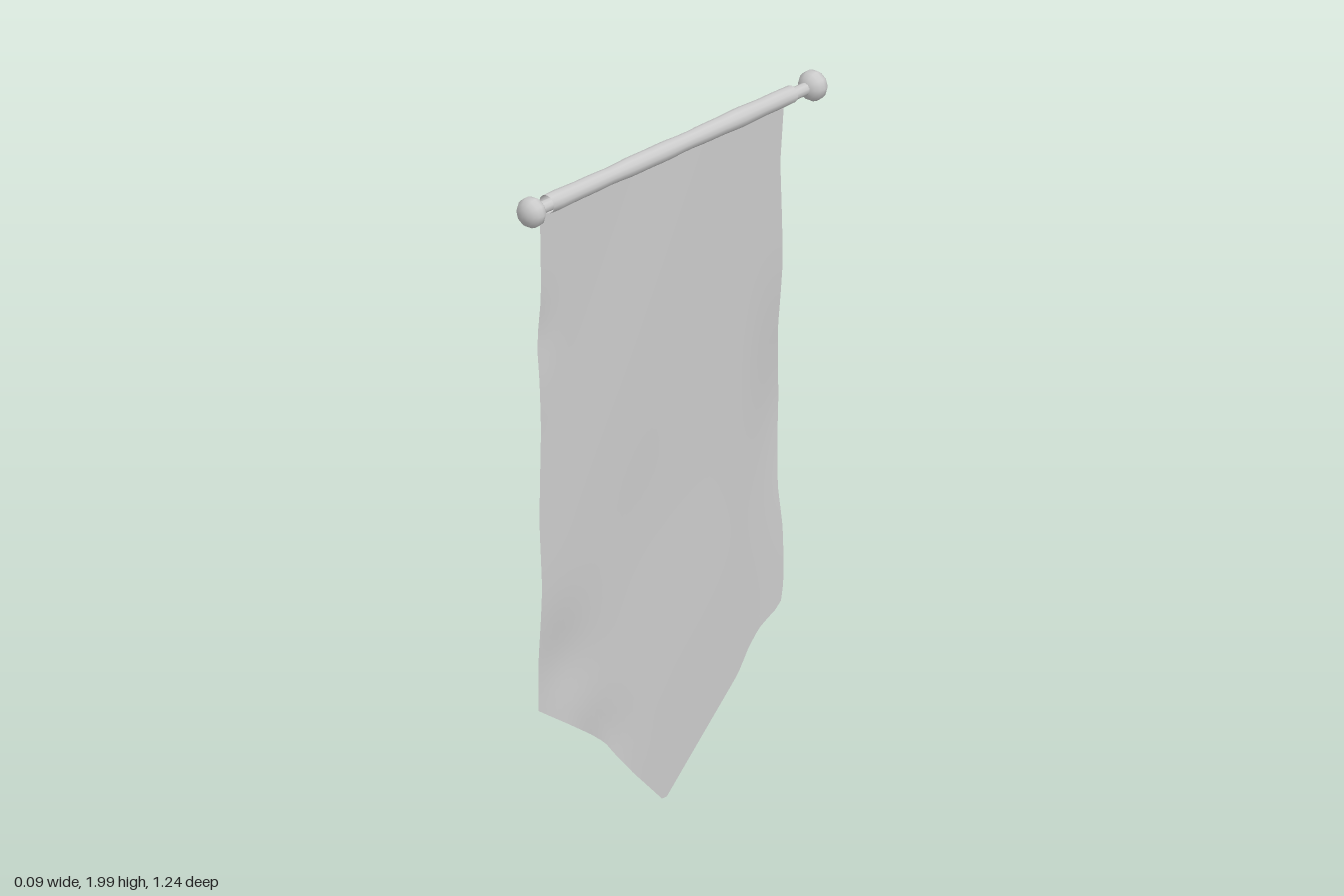
import * as THREE from 'three';

const ROD_Y = 1.955;

// Piecewise-linear lookup through [position, value] pairs
function lerpThrough(points, t) {
  for (let i = 1; i < points.length; i++) {
    const [a, va] = points[i - 1], [b, vb] = points[i];
    if (t <= b) return va + (vb - va) * Math.max(0, (t - a) / (b - a));
  }
  return points[points.length - 1][1];
}

// Pointed lower hem: z -> y
const HEM = [[-0.5, 0.44], [-0.48, 0.42], [-0.41, 0.385], [-0.36, 0.34], [-0.31, 0.28],
  [0, 0], [0.13, 0.125], [0.2, 0.2], [0.24, 0.25], [0.3, 0.295], [0.4, 0.36], [0.52, 0.435]];
// Worn side edges: y -> z
const BACK_EDGE = [[0.4, -0.48], [0.5, -0.5], [0.65, -0.5], [0.78, -0.485], [1.05, -0.5],
  [1.25, -0.487], [1.45, -0.497], [1.75, -0.485], [1.92, -0.5]];
const FRONT_EDGE = [[0.43, 0.52], [0.6, 0.517], [0.8, 0.51], [1, 0.52], [1.27, 0.512],
  [1.5, 0.52], [1.65, 0.513], [1.92, 0.52]];

const bump = (z, y, cz, cy, rz, ry) => Math.exp(-(((z - cz) / rz) ** 2) - ((y - cy) / ry) ** 2);

// Gentle billows in the hanging cloth
function clothX(z, y) {
  return -0.028
    - 0.022 * bump(z, y, -0.5, 1.05, 0.13, 0.3)
    - 0.014 * bump(z, y, 0.42, 0.55, 0.12, 0.14)
    - 0.007 * bump(z, y, 0.28, 0.27, 0.12, 0.08)
    - 0.008 * bump(z, y, 0.52, 1.55, 0.06, 0.1)
    - 0.003 * bump(z, y, -0.1, 0.8, 0.3, 0.25)
    + 0.0015 * Math.sin(9 * z + 5 * y);
}

function createCloth(material) {
  const geometry = new THREE.PlaneGeometry(1, 1, 50, 40);
  const p = geometry.attributes.position;
  for (let i = 0; i < p.count; i++) {
    const u = p.getX(i) + 0.5, v = 0.5 - p.getY(i);
    const hem = lerpThrough(HEM, -0.5 + 1.02 * u);
    const y = ROD_Y + (hem - ROD_Y) * v;
    const back = lerpThrough(BACK_EDGE, y), front = lerpThrough(FRONT_EDGE, y);
    // the edge wobble fades out in the pointed part
    const fade = THREE.MathUtils.smoothstep(y, 0.25, 0.42);
    const plain = -0.5 + 1.02 * u;
    const z = plain + (back + (front - back) * u - plain) * fade;
    p.setXYZ(i, clothX(z, y), y, z);
  }
  geometry.computeVertexNormals();
  const mesh = new THREE.Mesh(geometry, material);
  mesh.name = 'bannerCloth';
  return mesh;
}

// Cloth loop wrapped around the rod, slightly uneven
function createSleeve(material) {
  const geometry = new THREE.CylinderGeometry(0.025, 0.025, 1.02, 12, 24, true);
  geometry.rotateX(Math.PI / 2);
  const p = geometry.attributes.position;
  for (let i = 0; i < p.count; i++) {
    const z = p.getZ(i);
    const s = 1.05 + 0.05 * Math.sin(17 * z) + 0.03 * Math.sin(41 * z + 1);
    p.setXYZ(i, p.getX(i) * s - 0.002, p.getY(i) * s + ROD_Y + 0.002, z + 0.01);
  }
  geometry.computeVertexNormals();
  const mesh = new THREE.Mesh(geometry, material);
  mesh.name = 'rodSleeve';
  return mesh;
}

export function createModel() {
  const group = new THREE.Group();
  group.name = 'hangingBanner';
  const solid = new THREE.MeshStandardMaterial({ color: 0xcccccc });
  const cloth = new THREE.MeshStandardMaterial({ color: 0xcccccc, side: THREE.DoubleSide });

  // Rod
  const rod = new THREE.Mesh(new THREE.CylinderGeometry(0.018, 0.018, 1.15, 10), solid);
  rod.rotation.x = Math.PI / 2;
  rod.position.y = ROD_Y;
  rod.name = 'rod';
  group.add(rod);

  // Rounded end knobs
  const knobGeometry = new THREE.SphereGeometry(0.045, 10, 8);
  knobGeometry.rotateX(Math.PI / 2).scale(1, 1, 0.8);
  for (const side of [-1, 1]) {
    const knob = new THREE.Mesh(knobGeometry, solid);
    knob.position.set(0, ROD_Y, side * 0.586);
    knob.name = side > 0 ? 'frontKnob' : 'backKnob';
    group.add(knob);
  }

  group.add(createSleeve(cloth), createCloth(cloth));
  return group;
}
